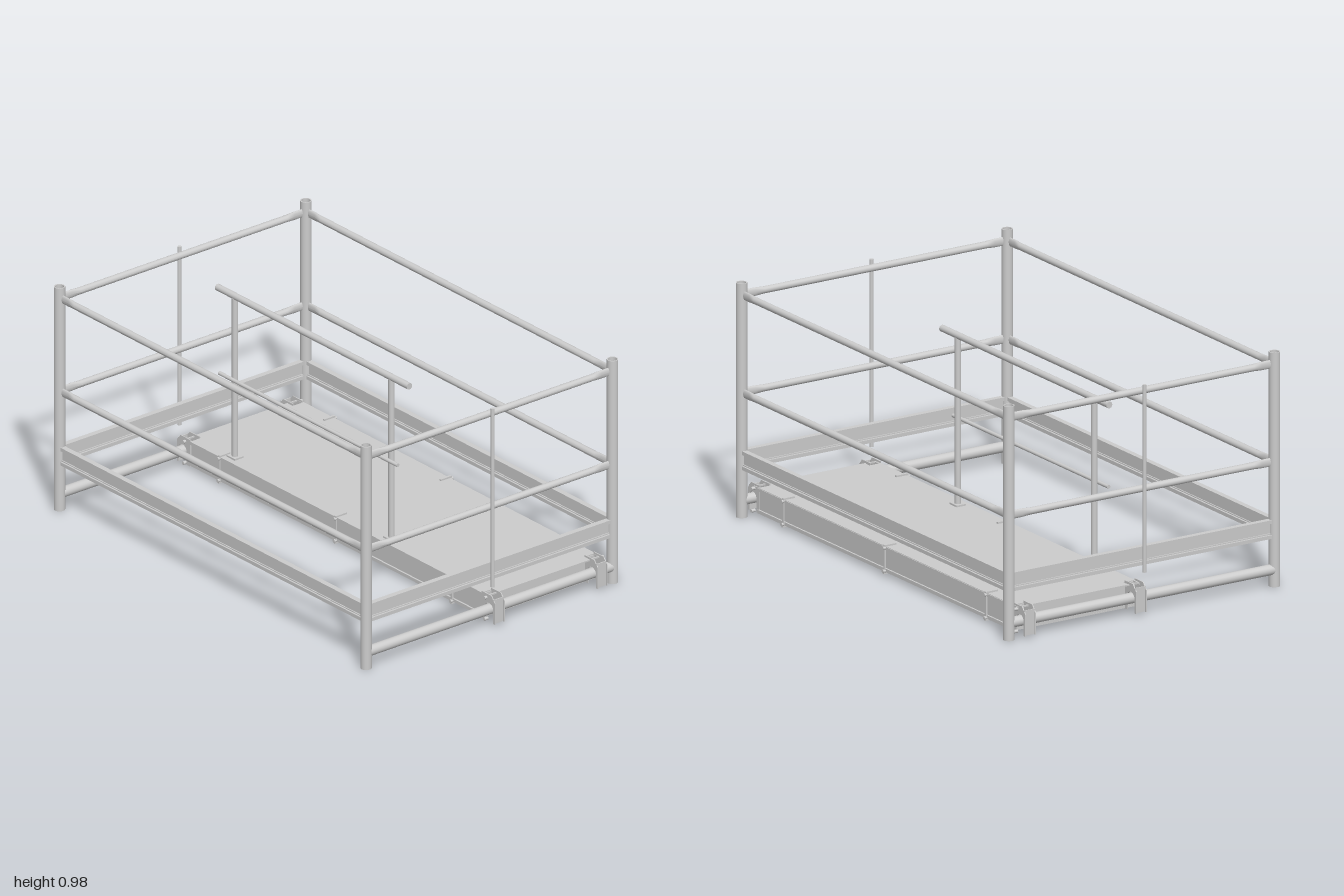
import * as THREE from 'three';

const mat = new THREE.MeshStandardMaterial({ color: 0xcccccc, side: THREE.DoubleSide });
const PX = 0.962, PZ = 0.635; // corner post centres

function add(parent, name, geo, x = 0, y = 0, z = 0) {
  const m = new THREE.Mesh(geo, mat);
  m.name = name;
  m.position.set(x, y, z);
  parent.add(m);
  return m;
}

const box = (p, name, w, h, d, x, y, z) => add(p, name, new THREE.BoxGeometry(w, h, d), x, y, z);

// Round bar centred on a point, running along one axis
function bar(p, name, axis, r, len, x, y, z) {
  const g = new THREE.CylinderGeometry(r, r, len, 20);
  if (axis === 'x') g.rotateZ(Math.PI / 2);
  if (axis === 'z') g.rotateX(Math.PI / 2);
  return add(p, name, g, x, y, z);
}

// Guard rail along x whose ends are squeezed flat before the posts
function flattenedRail(r, len) {
  const g = new THREE.CylinderGeometry(r, r, len, 20, 5);
  g.rotateZ(Math.PI / 2);
  const h = len / 2, stations = [h, h - 0.045, h - 0.085];
  const p = g.attributes.position;
  for (let i = 0; i < p.count; i++) {
    const x = p.getX(i);
    const k = Math.round((h - Math.abs(x)) / (len / 5)); // ring index from the nearer end
    p.setX(i, Math.sign(x) * stations[k]);
    if (k < 2) {
      p.setY(i, p.getY(i) * 1.25);
      p.setZ(i, p.getZ(i) * 0.5);
    }
  }
  g.computeVertexNormals();
  return g;
}

// Open tubular corner post
function postGeometry() {
  const pts = [[0.018, 0], [0.023, 0], [0.023, 0], [0.023, 0.98], [0.023, 0.98], [0.018, 0.98], [0.018, 0.98], [0.018, 0]];
  return new THREE.LatheGeometry(pts.map(([a, b]) => new THREE.Vector2(a, b)), 28);
}

// Toe board along x: thin web with folded edges and a rib
function toeBoard(len) {
  const g = new THREE.Group();
  g.name = 'toeBoard';
  box(g, 'toeBoardWeb', len, 0.075, 0.006, 0, 0.242, 0);
  for (const [y, h, d] of [[0.273, 0.015, 0.024], [0.21, 0.015, 0.024], [0.222, 0.004, 0.016]])
    box(g, 'toeBoardFold', len, h, d, 0, y, 0);
  return g;
}

function guardFrame() {
  const g = new THREE.Group();
  g.name = 'guardFrame';
  for (const sx of [-1, 1]) for (const sz of [-1, 1]) add(g, 'cornerPost', postGeometry(), sx * PX, 0, sz * PZ);

  // One side of rails and toe board, placed four times
  const sides = [[0, PZ, 2 * PX, 0], [0, -PZ, 2 * PX, 0], [PX, 0, 2 * PZ, 1], [-PX, 0, 2 * PZ, 1]];
  for (const [x, z, span, turned] of sides) {
    const side = new THREE.Group();
    side.name = 'guardSide';
    for (const y of [0.93, 0.52]) add(side, 'guardRail', flattenedRail(0.0145, span - 0.036), 0, y, 0);
    side.add(toeBoard(span - 0.04));
    side.position.set(x, 0, z);
    side.rotation.y = turned * Math.PI / 2;
    g.add(side);
  }

  // End tubes carrying the deck, and the upright rod on each end
  for (const s of [-1, 1]) {
    bar(g, 'lowerTube', 'z', 0.022, 2 * PZ - 0.02, s * PX, 0.07, 0);
    bar(g, 'uprightRod', 'y', 0.008, 0.785, s * 0.983, 0.567, 0);
  }
  return g;
}

// Deck sheet with a notch for the hook at each corner
function deckSheet() {
  const s = new THREE.Shape();
  s.moveTo(-0.95, 0).lineTo(0.95, 0).lineTo(0.95, 0.585).lineTo(-0.95, 0.585).closePath();
  for (const sx of [-1, 1]) for (const y of [0.01, 0.53]) {
    const h = new THREE.Path();
    h.moveTo(sx * 0.915, y).lineTo(sx * 0.915, y + 0.045).lineTo(sx * 0.944, y + 0.045).lineTo(sx * 0.944, y).closePath();
    s.holes.push(h);
  }
  const g = new THREE.ExtrudeGeometry(s, { depth: 0.006, bevelEnabled: false });
  return g.rotateX(-Math.PI / 2);
}

// Hook: two cheeks hanging over the end tube, joined by an outer plate
function hook(z) {
  const g = new THREE.Group();
  g.name = 'deckHook';
  const s = new THREE.Shape();
  s.moveTo(0.915, 0.015).lineTo(0.915, 0.132).lineTo(0.975, 0.132).lineTo(0.998, 0.105).lineTo(0.998, 0.012);
  s.lineTo(0.988, 0.012).lineTo(0.988, 0.07).absarc(PX, 0.07, 0.026, 0, Math.PI, false).lineTo(0.936, 0.015).closePath();
  for (const dz of [-0.026, 0.022])
    add(g, 'hookCheek', new THREE.ExtrudeGeometry(s, { depth: 0.004, bevelEnabled: false }), 0, 0, z + dz);
  box(g, 'hookPlate', 0.004, 0.105, 0.05, 0.99, 0.066, z);
  return g;
}

function deck() {
  const g = new THREE.Group();
  g.name = 'deck';
  add(g, 'deckSheet', deckSheet(), 0, 0.118, 0);

  // Long channel beams with lips, and the straps bolted around them
  for (const [z, out] of [[-0.004, 1], [-0.584, -1]]) {
    const beam = new THREE.Group();
    beam.name = 'sideBeam';
    beam.position.z = z;
    beam.scale.z = out;
    box(beam, 'beamWeb', 1.84, 0.1, 0.005, 0, 0.07, -0.006);
    box(beam, 'beamBottomFlange', 1.84, 0.005, 0.07, 0, 0.019, -0.033);
    for (const y of [0.026, 0.116]) box(beam, 'beamLip', 1.84, 0.012, 0.008, 0, y, 0);
    for (const x of [-0.73, 0, 0.73]) {
      box(beam, 'strap', 0.01, 0.115, 0.006, x, 0.072, 0.006);
      box(beam, 'strapTop', 0.01, 0.008, 0.055, x, 0.127, -0.02);
      box(beam, 'strapFoot', 0.01, 0.008, 0.02, x, 0.014, 0.002);
      for (const y of [0.022, 0.118]) bar(beam, 'strapBolt', 'z', 0.007, 0.012, x, y, 0.01);
    }
    for (const s of [-1, 1]) for (const y of [0.022, 0.115])
      bar(beam, 'hookBolt', 'z', 0.007, 0.018, s * 0.945, y, 0.008);
    g.add(beam);
  }

  // End channels
  for (const s of [-1, 1]) {
    box(g, 'endBeamWeb', 0.005, 0.1, 0.58, s * 0.917, 0.07, -0.294);
    box(g, 'endBeamFlange', 0.05, 0.005, 0.58, s * 0.895, 0.019, -0.294);
  }

  // Cross ribs under the sheet
  for (let i = -3; i <= 3; i++) box(g, 'crossRib', 0.022, 0.05, 0.565, i * 0.235, 0.092, -0.294);

  // Hooks at the four corners
  for (const s of [-1, 1]) {
    const pair = new THREE.Group();
    pair.name = 'hookPair';
    pair.add(hook(-0.025), hook(-0.555));
    if (s < 0) pair.scale.x = -1;
    g.add(pair);
  }
  return g;
}

// Short hand rail standing on the deck
function handRail() {
  const g = new THREE.Group();
  g.name = 'handRail';
  for (const x of [-0.69, 0.292]) {
    bar(g, 'handRailPost', 'y', 0.013, 0.705, x, 0.474, -0.046);
    box(g, 'handRailFoot', 0.052, 0.007, 0.045, x, 0.1275, -0.046);
  }
  bar(g, 'handRailTop', 'x', 0.014, 1.205, -0.197, 0.833, -0.046);
  bar(g, 'handRailMiddle', 'x', 0.008, 1.12, -0.2, 0.476, -0.023);
  return g;
}

export function createModel() {
  const model = new THREE.Group();
  model.name = 'guardedPlatform';
  model.add(guardFrame(), deck(), handRail());
  return model;
}
